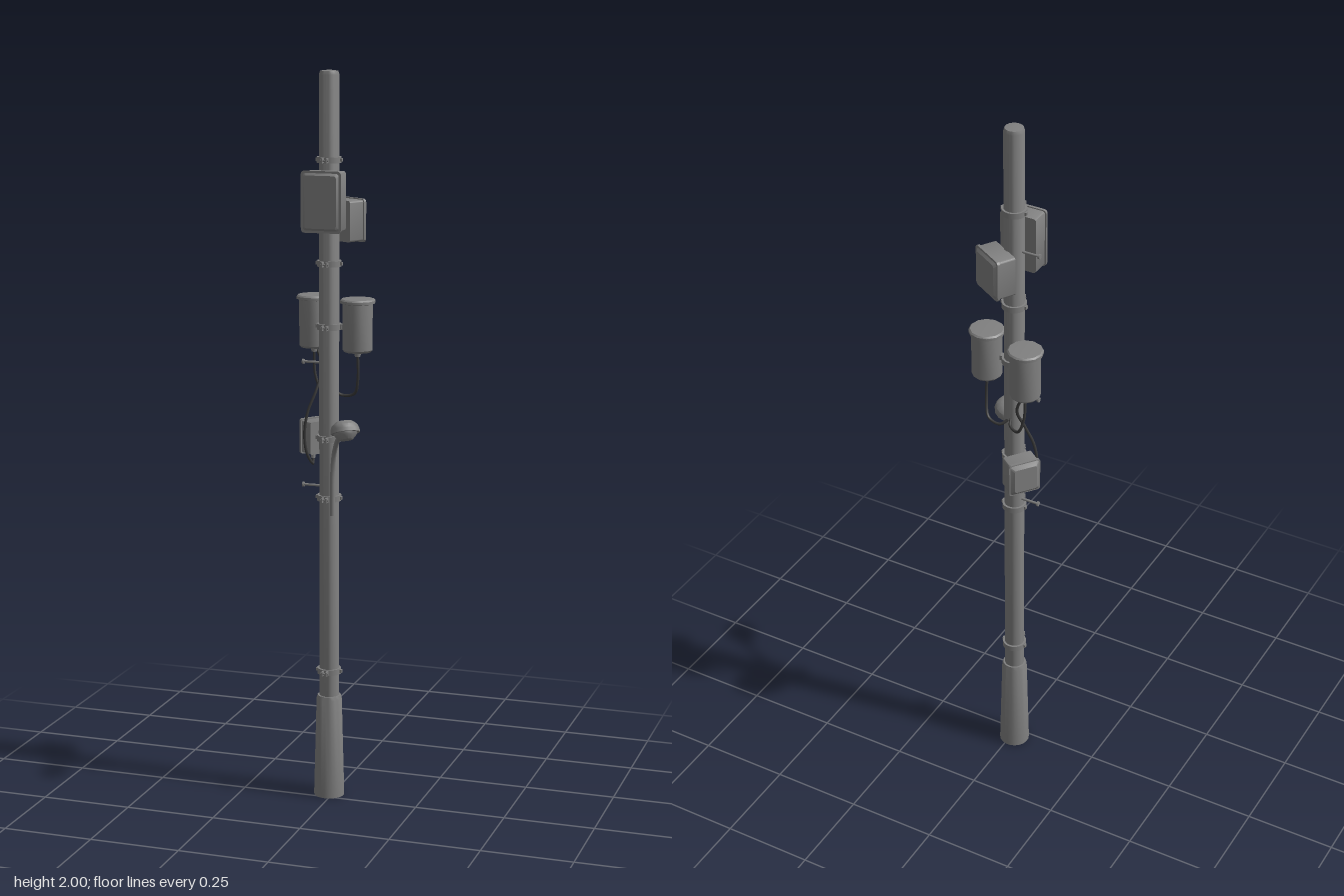
import * as THREE from 'three';
import { toCreasedNormals } from 'three/addons/utils/BufferGeometryUtils.js';

const PX = -0.01, PZ = -0.029; // pole axis
const mat = new THREE.MeshStandardMaterial({ color: 0x808080 });
const cableMat = new THREE.MeshStandardMaterial({ color: 0x3a3a3a });

function add(parent, name, geo, x = 0, y = 0, z = 0, material = mat) {
  const m = new THREE.Mesh(geo, material);
  m.name = name;
  m.position.set(x, y, z);
  parent.add(m);
  return m;
}

function group(parent, name, x, y, z, yaw = 0) {
  const g = new THREE.Group();
  g.name = name;
  g.position.set(x, y, z);
  g.rotation.y = yaw;
  parent.add(g);
  return g;
}

const box = (w, h, d) => new THREE.BoxGeometry(w, h, d);
const cyl = (rt, rb, h, n = 12) => new THREE.CylinderGeometry(rt, rb, h, n);

function lathe(points, sides, crease = 0.6) {
  const pts = points.map(p => new THREE.Vector2(p[0], p[1]));
  return toCreasedNormals(new THREE.LatheGeometry(pts, sides), crease);
}

function tube(points, r, n = 24) {
  const path = new THREE.CatmullRomCurve3(points.map(p => new THREE.Vector3(...p)));
  return new THREE.TubeGeometry(path, n, r, 8);
}

// Plate with rounded corners from z = 0 to z = d, its front narrowed by inset
function plate(w, h, d, r, inset = 0) {
  const s = new THREE.Shape(), x = w / 2, y = h / 2;
  s.absarc(x - r, y - r, r, 0, Math.PI / 2);
  s.absarc(-x + r, y - r, r, Math.PI / 2, Math.PI);
  s.absarc(-x + r, -y + r, r, Math.PI, Math.PI * 1.5);
  s.absarc(x - r, -y + r, r, Math.PI * 1.5, Math.PI * 2);
  const g = new THREE.ExtrudeGeometry(s, { depth: d, bevelEnabled: false, curveSegments: 4 });
  const p = g.attributes.position;
  for (let i = 0; i < p.count; i++) {
    if (p.getZ(i) > d / 2) p.setXY(i, p.getX(i) * (1 - inset / x), p.getY(i) * (1 - inset / y));
  }
  return toCreasedNormals(g, 0.5);
}

// Cabinet facing +z with its back at z = 0
function cabinet(parent, name, w, h, d, x, y, z, yaw) {
  const g = group(parent, name, x, y, z, yaw);
  add(g, 'cabinetBody', plate(w, h, d * 0.8, 0.007));
  add(g, 'cabinetRim', plate(w + 0.008, h + 0.006, d * 0.12, 0.01), 0, 0, d * 0.78);
  add(g, 'cabinetDoor', plate(w - 0.004, h - 0.006, d * 0.1, 0.008, 0.006), 0, 0, d * 0.9);
  return g;
}

// Pole clamp: a ring with side ears and bolted lugs at the front
function clamp(parent, y) {
  const g = group(parent, 'poleClamp', PX, y, PZ);
  add(g, 'clampBand', lathe([[0.025, -0.008], [0.033, -0.008], [0.033, 0.008], [0.025, 0.008]], 20));
  for (const s of [-1, 1]) {
    add(g, 'clampLug', box(0.004, 0.013, 0.018), s * 0.006, 0, 0.039);
    add(g, 'clampEar', box(0.008, 0.009, 0.01), s * 0.033, 0, 0);
  }
  add(g, 'clampBolt', cyl(0.003, 0.003, 0.022, 6), 0, 0, 0.041).rotation.z = Math.PI / 2;
}

// Drum antenna on a short bracket
function drum(parent, x, z) {
  const g = group(parent, 'drum', x, 0, z);
  add(g, 'drumShell', lathe([[0, 1.254], [0.036, 1.254], [0.041, 1.26], [0.041, 1.384],
    [0.048, 1.386], [0.048, 1.393], [0.044, 1.397], [0, 1.4]], 12, 0.55));
  add(g, 'cableGland', cyl(0.01, 0.008, 0.014, 8), 0, 1.248, 0);
  const dx = PX - x, dz = PZ - z, len = Math.hypot(dx, dz);
  const b = group(g, 'drumBracket', dx / 2, 1.32, dz / 2, Math.atan2(dx, dz));
  add(b, 'bracketArm', box(0.016, 0.014, len));
}

export function createModel() {
  const model = new THREE.Group();
  model.name = 'utilityPole';

  // Pole with sleeve base and rounded top
  add(model, 'pole', lathe([[0, 0.2], [0.027, 0.2], [0.027, 1.988], [0.024, 1.997], [0, 2]], 24),
    PX, 0, PZ);
  add(model, 'baseSleeve', lathe([[0, 0], [0.042, 0], [0.042, 0.01], [0.035, 0.28], [0.032, 0.29],
    [0.026, 0.29]], 24), PX, 0, PZ);
  for (const y of [0.36, 0.85, 1.015, 1.32, 1.49, 1.765]) clamp(model, y);

  // Step pegs on one side
  for (const y of [0.88, 1.22, 1.655]) {
    const g = group(model, 'stepPeg', 0, y, -0.033);
    add(g, 'pegRod', cyl(0.0035, 0.0035, 0.06, 8), -0.056, 0, 0).rotation.z = Math.PI / 2;
    add(g, 'pegHead', cyl(0.007, 0.007, 0.005, 8), -0.085, 0, 0).rotation.z = Math.PI / 2;
  }

  // Upper cabinets
  cabinet(model, 'frontCabinet', 0.103, 0.157, 0.06, -0.007, 1.66, -0.004, 0);
  const rearYaw = Math.PI - 0.54;
  const rear = cabinet(model, 'rearCabinet', 0.104, 0.11, 0.06, 0.006, 1.603, -0.047, rearYaw);
  add(rear, 'cabinetMount', box(0.03, 0.06, 0.02), 0, 0, -0.006);

  // Drums
  drum(model, -0.069, -0.077);
  drum(model, 0.068, -0.036);

  // Lower junction box
  const junction = group(model, 'junctionBox', -0.04, 1.007, -0.068, Math.atan2(-0.8, -0.6));
  add(junction, 'junctionBody', plate(0.084, 0.09, 0.046, 0.006));
  add(junction, 'junctionRim', plate(0.09, 0.098, 0.008, 0.008), 0, 0, 0.042);
  add(junction, 'junctionCover', plate(0.084, 0.092, 0.009, 0.008, 0.01), 0, 0, 0.05);
  add(junction, 'junctionMount', box(0.03, 0.04, 0.03), 0, 0, -0.012);
  for (const x of [-0.02, 0.02]) add(junction, 'cableGland', cyl(0.006, 0.006, 0.014, 8), x, -0.051, 0.02);

  // Cables: drums to pole, drum around and under the junction box, box to pole
  const cables = [
    [[0.068, 1.25, -0.036], [0.067, 1.18, -0.042], [0.052, 1.135, -0.058], [0.015, 1.128, -0.064], [-0.008, 1.145, -0.05]],
    [[-0.069, 1.25, -0.077], [-0.067, 1.18, -0.08], [-0.05, 1.135, -0.082], [-0.02, 1.135, -0.068], [-0.012, 1.15, -0.05]],
    [[-0.062, 1.25, -0.08], [-0.046, 1.2, -0.08], [-0.055, 1.14, -0.055], [-0.075, 1.08, -0.04],
      [-0.083, 1.02, -0.036], [-0.078, 0.965, -0.042], [-0.066, 0.934, -0.058], [-0.068, 0.955, -0.064]],
    [[-0.044, 0.955, -0.096], [-0.042, 0.935, -0.09], [-0.032, 0.935, -0.07], [-0.02, 0.965, -0.05]],
  ];
  for (const c of cables) add(model, 'cable', tube(c, 0.004, 32), 0, 0, 0, cableMat);

  // Street lamp: curved arm, flared neck, tilted round head; +z points outward
  const lamp = group(model, 'streetLamp', PX, 0, PZ, Math.atan2(0.57, 0.82));
  add(lamp, 'lampArm', tube([[0, 0.808, 0.032], [0, 0.87, 0.032], [0, 0.935, 0.035], [0, 0.985, 0.05],
    [0, 1.02, 0.076], [0, 1.042, 0.106]], 0.007));
  add(lamp, 'armFoot', cyl(0.007, 0.007, 0.004, 8), 0, 0.808, 0.032);
  const head = group(lamp, 'lampHead', 0, 1.062, 0.15);
  head.rotation.x = -0.4;
  add(head, 'lampShade', lathe([[0, -0.026], [0.018, -0.023], [0.029, -0.012], [0.032, -0.005],
    [0.039, -0.005], [0.039, 0.005], [0.035, 0.016], [0.023, 0.026], [0, 0.03]], 14));
  add(head, 'lampNeck', cyl(0.016, 0.008, 0.042, 10), 0, 0.001, -0.042).rotation.x = Math.PI / 2;
  return model;
}
